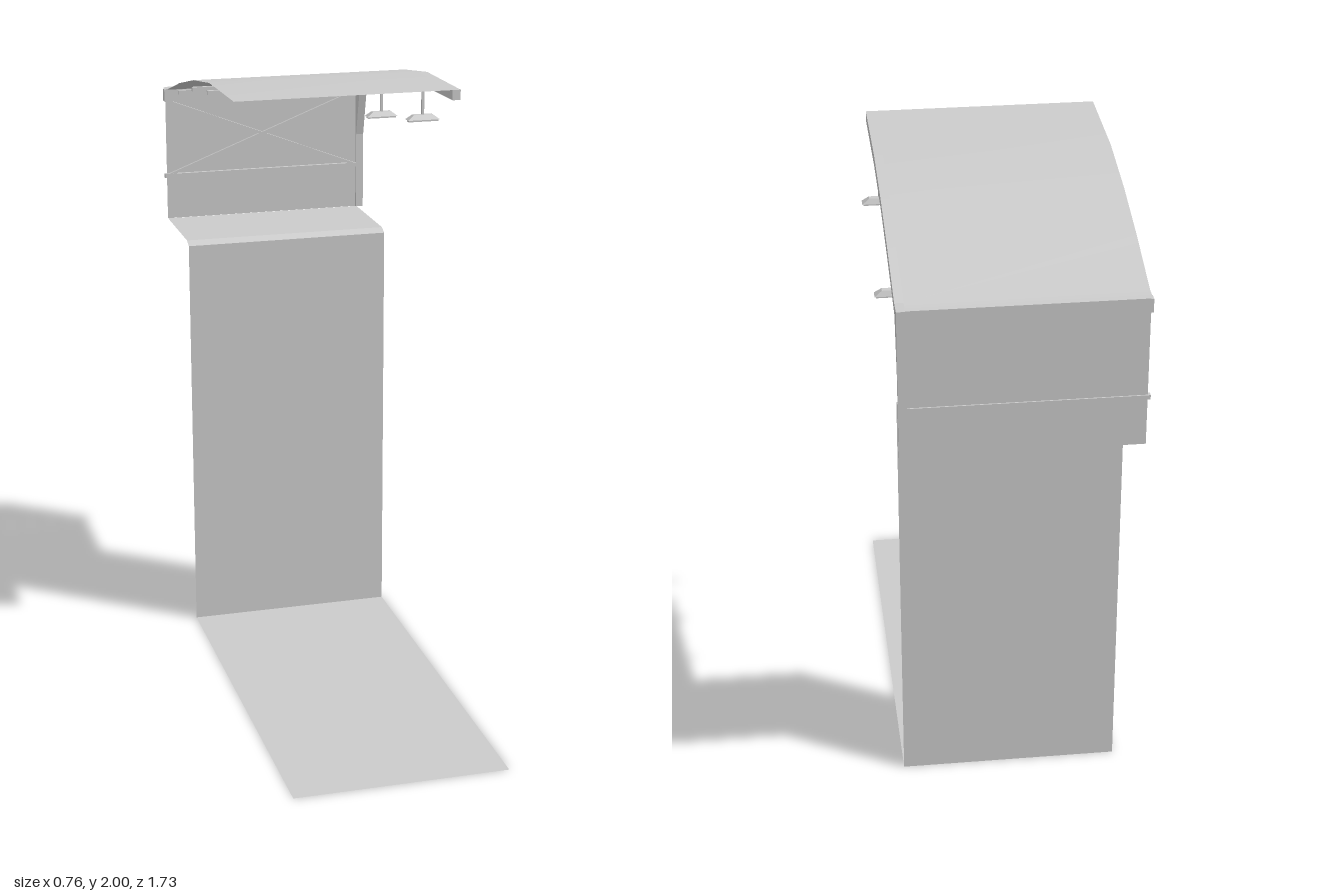
import * as THREE from 'three';

const grey = new THREE.MeshStandardMaterial({ color: 0xcccccc, side: THREE.DoubleSide });

function add(group, name, geometry) {
  const mesh = new THREE.Mesh(geometry, grey);
  mesh.name = name;
  group.add(mesh);
  return mesh;
}

// Sheet spanning x0..x1 that follows a profile of [z, y] points
function sheet(profile, x0, x1) {
  const pos = [], index = [];
  profile.forEach(([z, y], i) => {
    pos.push(x0, y, z, x1, y, z);
    const a = i * 2;
    if (i) index.push(a - 2, a - 1, a + 1, a - 2, a + 1, a);
  });
  const g = new THREE.BufferGeometry();
  g.setAttribute('position', new THREE.Float32BufferAttribute(pos, 3));
  g.setIndex(index);
  g.computeVertexNormals();
  return g;
}

// Box given by its limits on each axis
function block(x0, x1, y0, y1, z0, z1) {
  return new THREE.BoxGeometry(x1 - x0, y1 - y0, z1 - z0)
    .translate((x0 + x1) / 2, (y0 + y1) / 2, (z0 + z1) / 2);
}

// Square rod between two points
function rod(a, b, size) {
  const dir = b.clone().sub(a);
  const g = new THREE.BoxGeometry(size, dir.length(), size);
  g.applyQuaternion(new THREE.Quaternion().setFromUnitVectors(
    new THREE.Vector3(0, 1, 0), dir.normalize()));
  const mid = a.clone().add(b).multiplyScalar(0.5);
  return g.translate(mid.x, mid.y, mid.z);
}

export function createModel() {
  const model = new THREE.Group();
  model.name = 'canopySection';
  const L = -0.372, R = 0.313;

  // Ground, tall wall, bevel and ledge: flat strips with hard edges
  const base = [[0.866, 0], [-0.512, 0], [-0.512, 1.367], [-0.54, 1.38], [-0.86, 1.38]];
  ['ground', 'tallWall', 'ledgeBevel', 'ledge'].forEach((name, i) =>
    add(model, name, sheet(base.slice(i, i + 2), L, 0.317)));

  // Curved roof and rear panel
  const roofTop = [[0.22, 2], [-0.12, 1.995], [-0.363, 1.96], [-0.585, 1.91], [-0.81, 1.846], [-0.863, 1.846]];
  add(model, 'roof', sheet(roofTop, -0.377, R));
  add(model, 'rearPanel', sheet([[-0.862, 1.846], [-0.862, 1.38]], L, R));

  // End frame: roof rib running down into a tapering post
  const ribBottom = [[-0.855, 1.38], [-0.853, 1.643], [-0.81, 1.811], [-0.585, 1.873],
    [-0.363, 1.926], [-0.12, 1.958], [0.22, 1.968]];
  const outline = [...roofTop.slice(0, 5), [-0.866, 1.846], [-0.866, 1.38], ...ribBottom];
  const shape = new THREE.Shape(outline.map(([z, y]) => new THREE.Vector2(-z, y)));
  const rib = new THREE.ExtrudeGeometry(shape, { depth: 0.026, bevelEnabled: false });
  add(model, 'endFrame', rib.rotateY(Math.PI / 2).translate(R, 0, 0));

  // Purlins under the roof
  [[-0.13, 1.957], [-0.36, 1.926], [-0.585, 1.874]].forEach(([z, y]) =>
    add(model, 'purlin', block(-0.382, R, y - 0.002, y + 0.012, z - 0.006, z + 0.006)));

  // Rear rails and cross bracing
  add(model, 'topRail', block(-0.38, R, 1.8, 1.842, -0.86, -0.835));
  add(model, 'lowerRail', block(-0.38, R, 1.527, 1.541, -0.866, -0.85));
  [1, -1].forEach((s) => {
    const a = new THREE.Vector3(L, 1.667 - s * 0.133, -0.855);
    const b = new THREE.Vector3(R, 1.667 + s * 0.133, -0.855);
    add(model, 'crossBrace', rod(a, b, 0.009));
  });

  // Hanging lamps: stem, tapered hood and thin base
  [[-0.118, 1.836, 1.96], [-0.583, 1.756, 1.878]].forEach(([z, y, top]) => {
    const lamp = new THREE.Group();
    lamp.name = 'hangingLamp';
    lamp.position.set(0.325, y, z);
    const hood = new THREE.BoxGeometry(0.108, 0.016, 0.032).translate(0, 0.014, 0);
    const p = hood.attributes.position;
    for (let i = 0; i < p.count; i++) {
      if (p.getY(i) > 0.014) p.setXYZ(i, p.getX(i) * 0.6, p.getY(i), p.getZ(i) * 0.55);
    }
    hood.computeVertexNormals();
    add(lamp, 'lampHood', hood);
    add(lamp, 'lampBase', block(-0.05, 0.05, 0, 0.006, -0.011, 0.011));
    add(lamp, 'lampStem', block(-0.004, 0.004, 0.02, top - y, -0.004, 0.004));
    model.add(lamp);
  });

  return model;
}
